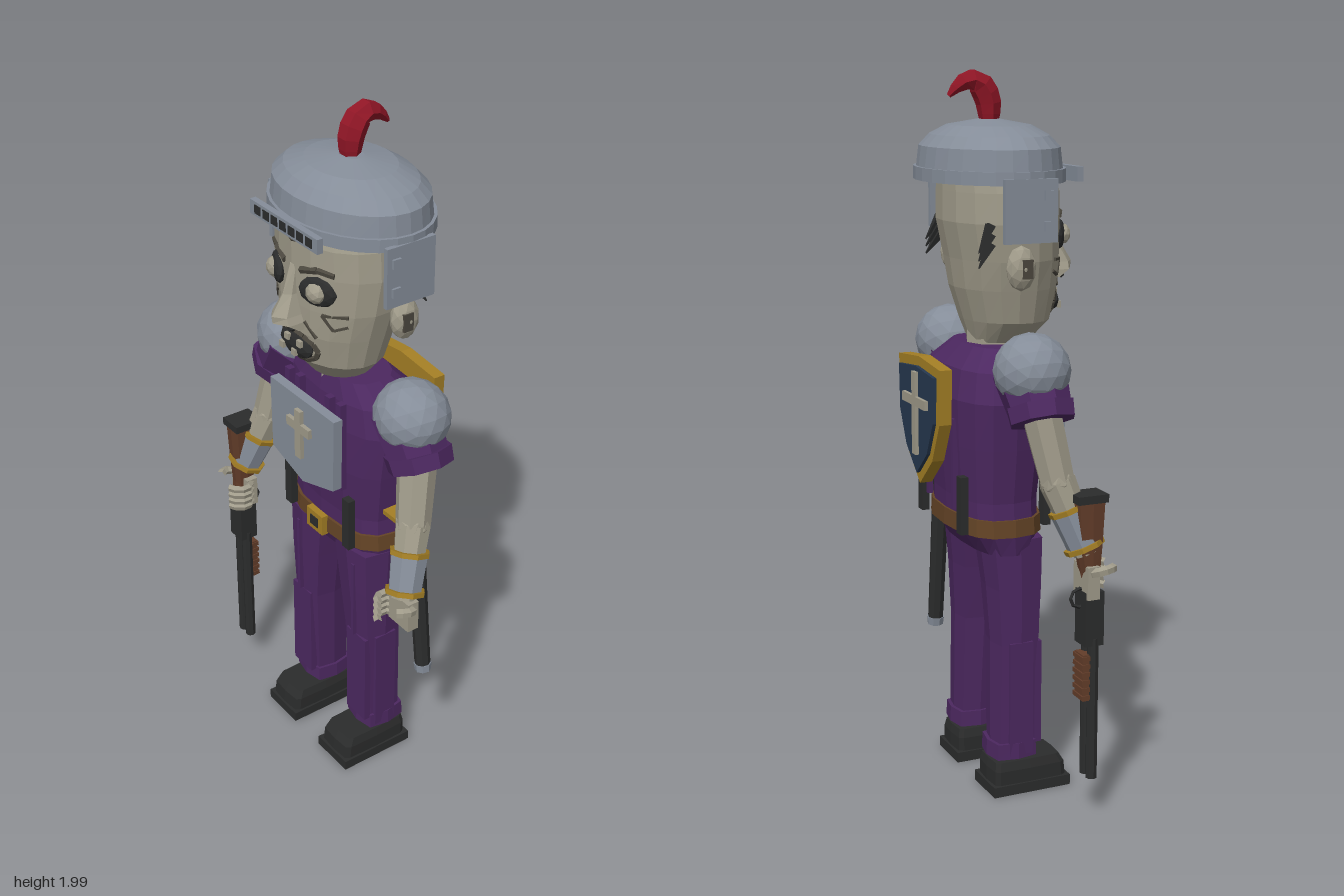
import * as THREE from 'three';

const mat = (name, color) => { const m = new THREE.MeshStandardMaterial({ color }); m.name = name; return m; };
const skin = mat('pale skin', 0xa09b8a), steel = mat('steel', 0x858d99), purple = mat('purple cloth', 0x4c2860),
  black = mat('black', 0x2b2c2c), wood = mat('wood', 0x633d2a), gold = mat('gold', 0xa47f25),
  navy = mat('navy', 0x26384f), red = mat('red', 0x911626), leather = mat('belt leather', 0x644426),
  shade = mat('dark skin', 0x4b473e);
const V = (x, y, z) => new THREE.Vector3(x, y, z);

// Adds a faceted mesh to a parent
function add(parent, name, geo, material, pos) {
  const g = geo.index ? geo.toNonIndexed() : geo;
  g.computeVertexNormals();
  const m = new THREE.Mesh(g, material);
  m.name = name;
  if (pos) m.position.set(...pos);
  parent.add(m);
  return m;
}
const box = (p, name, size, pos, material) => add(p, name, new THREE.BoxGeometry(...size), material, pos);
const ball = (p, name, r, pos, material, detail = 1) => {
  const m = add(p, name, new THREE.IcosahedronGeometry(1, detail), material, pos);
  m.scale.set(...r);
  return m;
};

// Tapered rod from a to b
function rod(p, name, a, b, r1, r2, material, n = 8) {
  const d = b.clone().sub(a);
  const m = add(p, name, new THREE.CylinderGeometry(r2, r1, d.length(), n), material);
  m.position.copy(a).addScaledVector(d, 0.5);
  m.quaternion.setFromUnitVectors(V(0, 1, 0), d.normalize());
  return m;
}

// Closed skin over rings [y, cx, cz, rx, rz]; pw squares the section
function loft(rings, n, pw = 2) {
  const v = [], idx = [], k = rings.length;
  const f = t => Math.sign(t) * Math.pow(Math.abs(t), 2 / pw);
  for (const [y, cx, cz, rx, rz] of rings)
    for (let i = 0; i < n; i++) {
      const a = i / n * Math.PI * 2;
      v.push(cx + rx * f(Math.sin(a)), y, cz + rz * f(Math.cos(a)));
    }
  for (const r of [rings[0], rings[k - 1]]) v.push(r[1], r[0], r[2]);
  for (let i = 0; i < n; i++) {
    const j = (i + 1) % n;
    for (let r = 0; r < k - 1; r++) {
      const a = r * n + i, b = r * n + j;
      idx.push(a, b, b + n, a, b + n, a + n);
    }
    idx.push(k * n, j, i, k * n + 1, (k - 1) * n + i, (k - 1) * n + j);
  }
  const g = new THREE.BufferGeometry();
  g.setAttribute('position', new THREE.Float32BufferAttribute(v, 3));
  g.setIndex(idx);
  return g;
}

// Flat outline with thickness
function plate(p, name, pts, depth, z, material) {
  const shape = new THREE.Shape(pts.map(q => new THREE.Vector2(...q)));
  return add(p, name, new THREE.ExtrudeGeometry(shape, { depth, bevelEnabled: false }), material, [0, 0, z]);
}

const headRings = [[1.27, 0, .015, .09, .085], [1.33, 0, .03, .15, .12], [1.42, 0, .025, .175, .143],
  [1.5, 0, .02, .197, .15], [1.6, 0, .01, .21, .16], [1.68, 0, .01, .205, .16], [1.76, 0, 0, .18, .15]]
  .map(r => [r[0], -.01, ...r.slice(2)]);
function faceZ(x, y) {
  let i = 0;
  while (i < headRings.length - 2 && headRings[i + 1][0] < y) i++;
  const a = headRings[i], b = headRings[i + 1], t = (y - a[0]) / (b[0] - a[0]);
  const [, , cz, rx, rz] = a.map((q, k) => q + (b[k] - q) * t);
  return cz + rz * Math.sqrt(Math.max(0, 1 - ((x + .01) / rx) ** 2)) - .002;
}

function buildHead(root) {
  const g = new THREE.Group(); g.name = 'head'; root.add(g);
  add(g, 'skull', loft(headRings, 18), skin);
  rod(g, 'neck', V(-.01, 1.2, 0), V(-.01, 1.3, 0), .08, .08, skin);
  const crease = (x1, y1, x2, y2, r) =>
    rod(g, 'crease', V(x1, y1, faceZ(x1, y1)), V(x2, y2, faceZ(x2, y2)), r, r, shade, 5);
  // Nose as a wedge
  add(g, 'nose', loft([[1.435, -.01, .165, .05, .03], [1.455, -.01, .185, .048, .048], [1.475, -.01, .185, .038, .05],
    [1.53, -.01, .165, .02, .035], [1.61, -.01, .155, .015, .02]], 6), skin);
  for (const s of [-1, 1]) {
    const X = x => -.01 + s * x, ex = X(.09);
    ball(g, 'eyeSocket', [.056, .042, .018], [ex, 1.56, faceZ(ex, 1.56)], black).rotation.y = s * .45;
    ball(g, 'eyeball', [.032, .03, .026], [ex, 1.56, faceZ(ex, 1.56) + .006], skin);
    crease(X(.035), 1.605, X(.09), 1.62, .01);
    crease(X(.09), 1.62, X(.135), 1.615, .009);
    crease(X(.1), 1.495, X(.16), 1.5, .006);
    crease(X(.1), 1.495, X(.125), 1.455, .006);
    crease(X(.125), 1.455, X(.155), 1.47, .005);
    crease(X(.045), 1.46, X(.08), 1.42, .006);
    crease(X(0), 1.675, X(.075), 1.69, .004);
    ball(g, 'nostril', [.014, .01, .012], [X(.025), 1.44, .19], black, 0);
    ball(g, 'ear', [.03, .06, .042], [X(.225), 1.49, -.022], skin);
    box(g, 'earHollow', [.008, .05, .03], [X(.25), 1.49, -.015], shade);
    for (let i = 0; i < 3; i++)
      rod(g, 'hairTuft', V(X(.17), 1.6 - i * .025, -.085), V(X(.185), 1.53 - i * .02, -.125), .016, .002, black, 4);
  }
  // Mouth with broken teeth
  ball(g, 'mouth', [.072, .038, .02], [-.01, 1.375, .158], black);
  for (let i = 0; i < 12; i++) {
    const q = k => [-.01 + .076 * Math.cos(k * Math.PI / 6), 1.375 + .042 * Math.sin(k * Math.PI / 6)];
    crease(...q(i), ...q(i + 1), .009);
  }
  [-.05, -.025, .005, .03].forEach((x, i) =>
    box(g, 'tooth', [.018, .018, .01], [x, i % 2 ? 1.395 : 1.36, .177], skin));
}

function buildHelmet(root) {
  const g = new THREE.Group(); g.name = 'helmet'; root.add(g);
  const c = [-.006, -.013];
  const rings = [[1.75, .225, .17], [1.705, .247, .178], [1.705, .262, .193], [1.74, .262, .193], [1.74, .253, .185],
    [1.795, .248, .178], [1.825, .215, .15], [1.85, .14, .11], [1.865, .04, .03]];
  add(g, 'helmetShell', loft(rings.map(([y, rx, rz]) => [y, ...c, rx, rz]), 28), steel);
  box(g, 'visor', [.3, .04, .018], [-.006, 1.722, .188], steel);
  for (let i = -3; i <= 3; i++) box(g, 'visorSlot', [.027, .024, .006], [-.006 + i * .038, 1.722, .196], black);
  for (const s of [-1, 1]) {
    box(g, 'cheekGuard', [.014, .165, .15], [-.006 + s * .256, 1.64, -.008], steel);
    for (const y of [1.6, 1.68]) box(g, 'guardRivet', [.01, .025, .025], [-.006 + s * .265, y, .04], steel);
  }
  // Curled plume, thickened in the middle
  const pts = [[1.85, -.012], [1.92, -.018], [1.965, -.05], [1.96, -.09], [1.925, -.13]];
  const curve = new THREE.CatmullRomCurve3(pts.map(([y, z]) => V(-.008, y, z)));
  const tube = new THREE.TubeGeometry(curve, 8, 1, 6), p = tube.attributes.position, o = V(), q = V();
  for (let i = 0; i < p.count; i++) {
    const t = Math.floor(i / 7) / 8;
    curve.getPointAt(t, o);
    q.fromBufferAttribute(p, i).sub(o).multiplyScalar(.006 + .03 * Math.sin(Math.PI * (.2 + .8 * t))).add(o);
    p.setXYZ(i, q.x, q.y, q.z);
  }
  add(g, 'plume', tube, red);
}

function cross(p, name, y, z, h, w, t) {
  box(p, name + 'Upright', [t, h, .012], [-.01, y, z], skin);
  box(p, name + 'Bar', [w, t, .012], [-.01, y + h * .15, z], skin);
}

function buildBody(root) {
  const g = new THREE.Group(); g.name = 'body'; root.add(g);
  const c = -.01;
  add(g, 'tunic', loft([[.7, c, -.02, .195, .08], [.76, c, -.028, .205, .115], [.85, c, -.03, .2, .115],
    [1, c, -.03, .22, .128], [1.13, c, -.035, .235, .13], [1.21, c, -.03, .21, .118], [1.265, c, -.01, .14, .085]], 16, 2.7), purple);
  add(g, 'belt', loft([[.757, c, -.028, .212, .124], [.805, c, -.028, .209, .122]], 16, 2.7), leather);
  box(g, 'buckle', [.075, .062, .02], [c, .78, .1], gold);
  box(g, 'buckleHole', [.036, .03, .008], [c, .78, .109], black);
  for (const s of [-1, 1]) {
    for (const z of [.092, -.155]) box(g, 'beltStrap', [.03, .16, .022], [c + s * .14, .845, z], black);
    for (const x of [.05, .1]) box(g, 'vestStrap', [.022, .27, .02], [c + s * (x + .02), 1.09, .102], purple);
    box(g, 'backSeam', [.014, .25, .015], [c + s * .09, .95, -.157], purple);
  }
  // Breastplate
  plate(g, 'breastplate', [[-.155, 1.2], [-.15, .98], [-.005, .935], [.14, .98], [.145, 1.2]], .028, .123, steel);
  cross(g, 'chestCross', 1.09, .157, .15, .105, .027);
  // Shield on the back
  const outline = k => [[-.15, 1.22], [0, 1.235], [.15, 1.22], [.143, 1.07], [.09, .96], [0, .88], [-.09, .96], [-.143, 1.07]]
    .map(([x, y]) => [x * k - .005, 1.07 + (y - 1.07) * k]).reverse();
  plate(g, 'shieldRim', outline(1), .035, -.22, gold);
  plate(g, 'shieldFace', outline(.84), .01, -.23, navy);
  cross(g, 'shieldCross', 1.08, -.234, .23, .165, .026);
  box(g, 'shieldMount', [.1, .14, .06], [c, 1.08, -.17], purple);
}

function buildLeg(root, s) {
  const g = new THREE.Group(); g.name = s > 0 ? 'leftLeg' : 'rightLeg'; root.add(g);
  const x = d => -.007 + s * d;
  add(g, 'trouser', loft([[.15, x(.132), -.008, .058, .06], [.44, x(.127), 0, .066, .066],
    [.6, x(.118), 0, .077, .075], [.74, x(.108), -.005, .088, .085]], 8, 4), purple);
  add(g, 'cuff', loft([[.105, x(.132), -.01, .068, .07], [.15, x(.132), -.01, .066, .068]], 8, 4), purple);
  box(g, 'shinPanel', [.09, .3, .02], [x(.138), .29, .056], purple);
  box(g, 'sidePanel', [.02, .33, .07], [x(.185), .28, 0], purple);
  box(g, 'thighSeam', [.012, .25, .012], [x(.135), .57, .072], purple);
  box(g, 'sole', [.14, .03, .235], [x(.132), .015, .032], black);
  add(g, 'shoe', loft([[.03, x(.132), .032, .065, .112], [.07, x(.132), .03, .065, .11], [.095, x(.132), .025, .058, .1]], 12, 8), black);
}

function buildArm(root, s) {
  const g = new THREE.Group(); g.name = s > 0 ? 'leftArm' : 'rightArm'; root.add(g);
  const P = (x, y, z) => V(-.007 + s * x, y, z);
  ball(g, 'shoulderGuard', [.108, .1, .103], P(.275, 1.228, -.012).toArray(), steel, 2);
  rod(g, 'sleeve', P(.25, 1.23, -.01), P(.317, 1.12, -.005), .1, .085, purple);
  rod(g, 'sleeveCuff', P(.31, 1.14, -.005), P(.328, 1.1, -.005), .094, .09, purple);
  const elbow = P(.345, .94, .03), wrist = P(.395, .75, .095), at = t => elbow.clone().lerp(wrist, t);
  rod(g, 'upperArm', P(.312, 1.13, -.005), elbow, .055, .048, skin);
  ball(g, 'elbow', [.049, .049, .049], elbow.toArray(), skin);
  rod(g, 'forearm', elbow, wrist, .05, .036, skin);
  rod(g, 'bracer', at(.38), at(.94), .053, .046, steel);
  for (const t of [.38, .9]) rod(g, 'bracerBand', at(t - .025), at(t + .04), .057, .056, gold);
  // Fist with curled fingers and a thumb
  const dy = s > 0 ? 0 : -.035;
  box(g, 'palm', [.085, .09, .035], P(.395, .712 + dy, .095).toArray(), skin);
  const hook = (name, pts, r) => add(g, name, new THREE.TubeGeometry(
    new THREE.CatmullRomCurve3(pts.map(q => P(...q))), 5, r, 5), skin);
  for (let i = 0; i < 4; i++) {
    const y = .682 + dy + i * .021;
    hook('finger', [[.375, y, .09], [.342, y, .11], [.343, y, .145], [.372, y, .163]], .0115);
  }
  hook('thumb', [[.42, .735 + dy, .09], [.448, .745 + dy, .105], [.452, .75 + dy, .13], [.437, .75 + dy, .152]], .013);
}

function buildShotgun(root) {
  const g = new THREE.Group(); g.name = 'shotgun'; root.add(g);
  const x = -.405;
  add(g, 'stock', loft([[.62, x, .105, .022, .022], [.7, x, .1, .026, .024], [.78, x, .095, .032, .034], [.895, x, .093, .035, .042]], 8, 5), wood);
  box(g, 'buttPad', [.074, .022, .088], [x, .905, .093], black);
  box(g, 'receiver', [.062, .15, .055], [x, .575, .103], black);
  const guard = add(g, 'triggerGuard', new THREE.TorusGeometry(.026, .005, 4, 8), black, [x, .63, .072]);
  guard.rotation.y = Math.PI / 2;
  for (const s of [-1, 1]) rod(g, 'barrel', V(x + s * .018, .12, .105), V(x + s * .018, .52, .105), .016, .016, black);
  box(g, 'foreGrip', [.05, .13, .03], [x, .41, .088], wood);
  for (let i = 0; i < 6; i++) box(g, 'gripRidge', [.056, .012, .034], [x, .355 + i * .022, .086], wood);
}

function buildSword(root) {
  const g = new THREE.Group(); g.name = 'sword'; root.add(g);
  const top = V(.218, 1.02, -.055), tip = V(.288, .355, -.06), at = t => top.clone().lerp(tip, t);
  rod(g, 'pommel', top, at(.03), .017, .019, black);
  rod(g, 'handle', at(.03), at(.18), .015, .015, wood);
  box(g, 'guard', [.075, .014, .11], [.236, .895, -.03], gold);
  rod(g, 'scabbard', at(.18), at(.97), .027, .023, black);
  rod(g, 'scabbardTip', at(.965), tip, .026, .024, steel);
}

export function createModel() {
  const root = new THREE.Group();
  root.name = 'undeadKnight';
  buildHead(root);
  buildHelmet(root);
  buildBody(root);
  for (const s of [-1, 1]) { buildLeg(root, s); buildArm(root, s); }
  buildShotgun(root);
  buildSword(root);
  return root;
}
